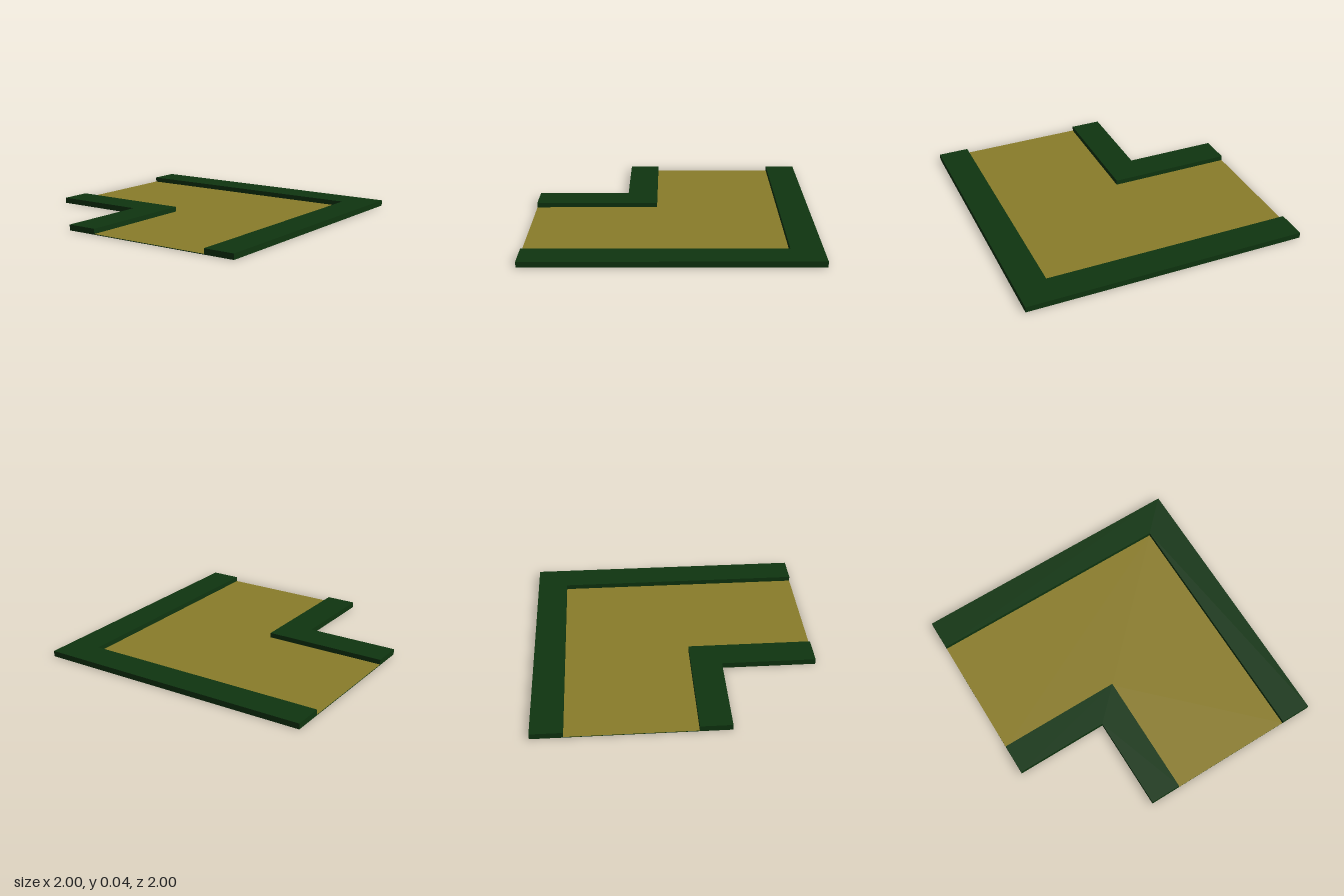
import * as THREE from 'three';

const HEIGHT = 0.04;  // top of the borders
const BASE = 0.004;   // thickness of the bottom slab
const OUT = 1, EDGE = 0.78;         // outer border: outside and inside edges
const NOTCH = 0.33, INNER = 0.11;   // inner border: outside and inside edges

const green = new THREE.MeshStandardMaterial({ color: 0x0f3510 });
const gold = new THREE.MeshStandardMaterial({ color: 0x8a7c2a });

// Flat outline from [x, z] corners, to be laid down on the ground plane
const outline = (corners) => new THREE.Shape(corners.map(([x, z]) => new THREE.Vector2(x, -z)));

function addPart(group, name, geometry, material, y) {
  geometry.rotateX(-Math.PI / 2).translate(0, y, 0);
  const mesh = new THREE.Mesh(geometry, material);
  mesh.name = name;
  group.add(mesh);
}

function addSlab(group, name, corners, bottom, top) {
  const geometry = new THREE.ExtrudeGeometry(outline(corners), { depth: top - bottom, bevelEnabled: false });
  addPart(group, name, geometry, green, bottom);
}

export function createModel() {
  const group = new THREE.Group();
  group.name = 'cornerPathTile';

  // L-shaped bottom slab
  addSlab(group, 'base', [
    [-OUT, -OUT], [OUT, -OUT], [OUT, OUT], [-NOTCH, OUT], [-NOTCH, NOTCH], [-OUT, NOTCH],
  ], 0, BASE);

  // Raised border around the outside of the bend
  addSlab(group, 'outerBorder', [
    [-OUT, -OUT], [OUT, -OUT], [OUT, OUT], [EDGE, OUT], [EDGE, -EDGE], [-OUT, -EDGE],
  ], BASE, HEIGHT);

  // Raised border around the inside of the bend
  addSlab(group, 'innerBorder', [
    [-OUT, INNER], [-INNER, INNER], [-INNER, OUT], [-NOTCH, OUT], [-NOTCH, NOTCH], [-OUT, NOTCH],
  ], BASE, HEIGHT);

  // Path surface between the borders
  addPart(group, 'path', new THREE.ShapeGeometry(outline([
    [-OUT, -EDGE], [EDGE, -EDGE], [EDGE, OUT], [-INNER, OUT], [-INNER, INNER], [-OUT, INNER],
  ])), gold, BASE + 0.001);

  return group;
}
